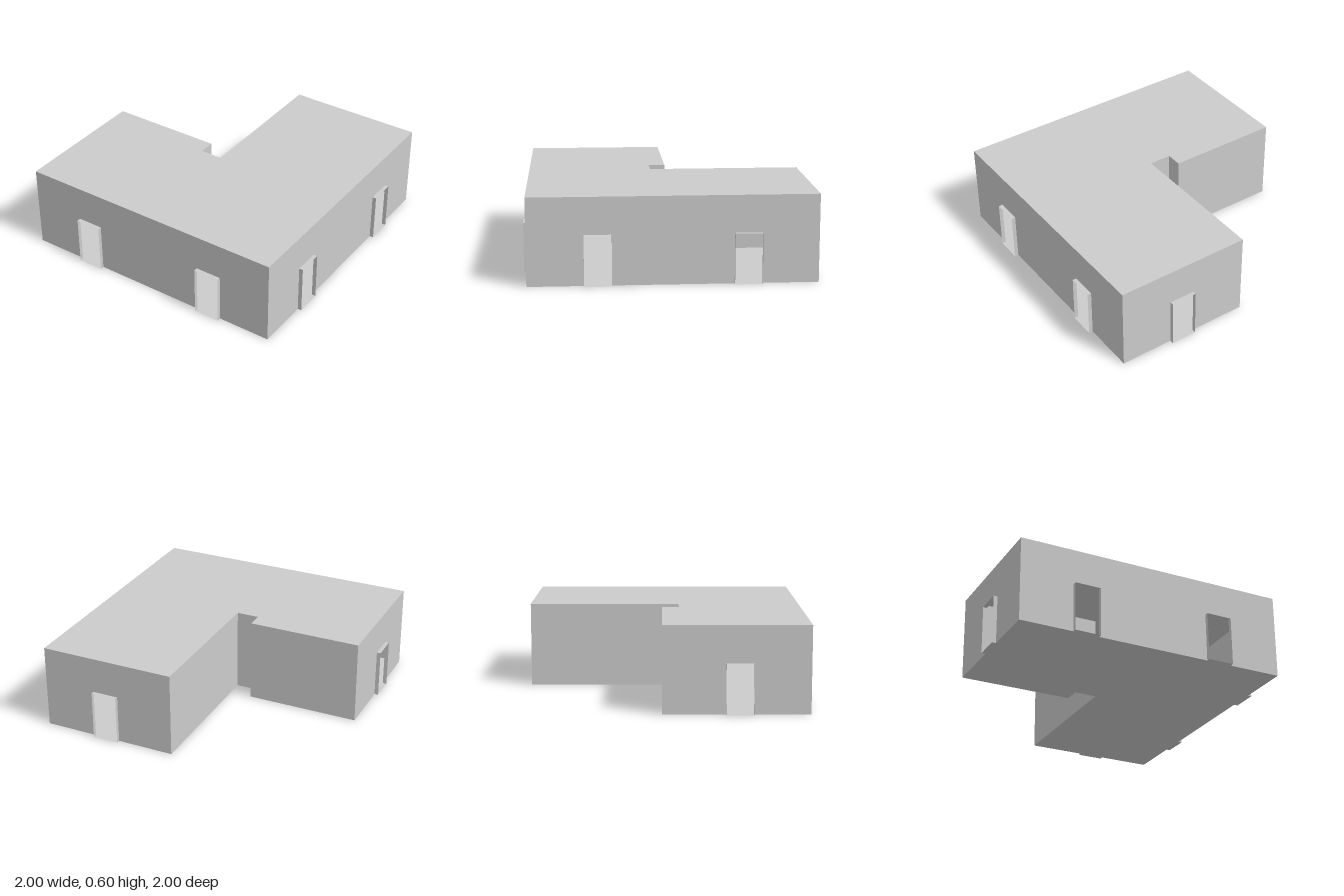
import * as THREE from 'three';

const HEIGHT = 0.6;
const DOOR = { width: 0.185, height: 0.345, depth: 0.028 };

// Plan corners [x, z], running counter-clockwise seen from above, with the
// door centres measured along the wall that starts at each corner.
const PLAN = [
  { name: 'frontWall', at: [-0.972, 0.972], doors: [0.472, 1.472] },
  { name: 'leftWall', at: [0.972, 0.972], doors: [0.472, 1.472] },
  { name: 'backWall', at: [0.972, -0.972], doors: [0.472] },
  { name: 'innerWall', at: [0, -0.972], doors: [] },
  { name: 'notchBackWall', at: [0, 0.1], doors: [] },
  { name: 'notchSideWall', at: [-0.16, 0.1], doors: [] },
  { name: 'wingBackWall', at: [-0.16, -0.016], doors: [] },
  { name: 'rightWall', at: [-0.972, -0.016], doors: [0.516] },
];

const material = new THREE.MeshStandardMaterial({
  color: 0xcccccc, flatShading: true, side: THREE.DoubleSide,
});

function addMesh(parent, name, geometry) {
  const mesh = new THREE.Mesh(geometry, material);
  mesh.name = name;
  parent.add(mesh);
  return mesh;
}

// Thin wall sheet with doorways cut up from its lower edge
function wallGeometry(length, doors) {
  const shape = new THREE.Shape();
  shape.moveTo(0, 0);
  for (const centre of doors) {
    const a = centre - DOOR.width / 2;
    const b = centre + DOOR.width / 2;
    shape.lineTo(a, 0);
    shape.lineTo(a, DOOR.height);
    shape.lineTo(b, DOOR.height);
    shape.lineTo(b, 0);
  }
  shape.lineTo(length, 0);
  shape.lineTo(length, HEIGHT);
  shape.lineTo(0, HEIGHT);
  return new THREE.ShapeGeometry(shape);
}

// Open sleeve of four thin sheets standing out from a doorway
function doorSleeve(centre) {
  const sleeve = new THREE.Group();
  sleeve.name = 'doorSleeve';
  const { width, height, depth } = DOOR;
  for (const side of [-1, 1]) {
    const jamb = new THREE.PlaneGeometry(depth, height).rotateY(side * Math.PI / 2);
    addMesh(sleeve, 'jamb', jamb).position.set(side * width / 2, height / 2, depth / 2);
  }
  const lintel = new THREE.PlaneGeometry(width, depth).rotateX(-Math.PI / 2);
  addMesh(sleeve, 'lintel', lintel).position.set(0, height, depth / 2);
  const sill = new THREE.PlaneGeometry(width, depth).rotateX(Math.PI / 2);
  addMesh(sleeve, 'sill', sill).position.set(0, 0, depth / 2);
  sleeve.position.x = centre;
  return sleeve;
}

export function createModel() {
  const model = new THREE.Group();
  model.name = 'cornerBuilding';

  // Walls, each in its own frame with +z pointing outwards
  PLAN.forEach(({ name, at: [x, z], doors }, i) => {
    const [nx, nz] = PLAN[(i + 1) % PLAN.length].at;
    const wall = new THREE.Group();
    wall.name = name;
    wall.position.set(x, 0, z);
    wall.rotation.y = Math.atan2(z - nz, nx - x);
    addMesh(wall, 'wallSheet', wallGeometry(Math.hypot(nx - x, nz - z), doors));
    doors.forEach((centre) => wall.add(doorSleeve(centre)));
    model.add(wall);
  });

  // Floor and flat roof share the plan outline
  const outline = (sign) => new THREE.Shape(
    PLAN.map(({ at: [x, z] }) => new THREE.Vector2(x, sign * z)));
  addMesh(model, 'floor', new THREE.ShapeGeometry(outline(1)).rotateX(Math.PI / 2));
  addMesh(model, 'roof', new THREE.ShapeGeometry(outline(-1)).rotateX(-Math.PI / 2))
    .position.y = HEIGHT;

  return model;
}
